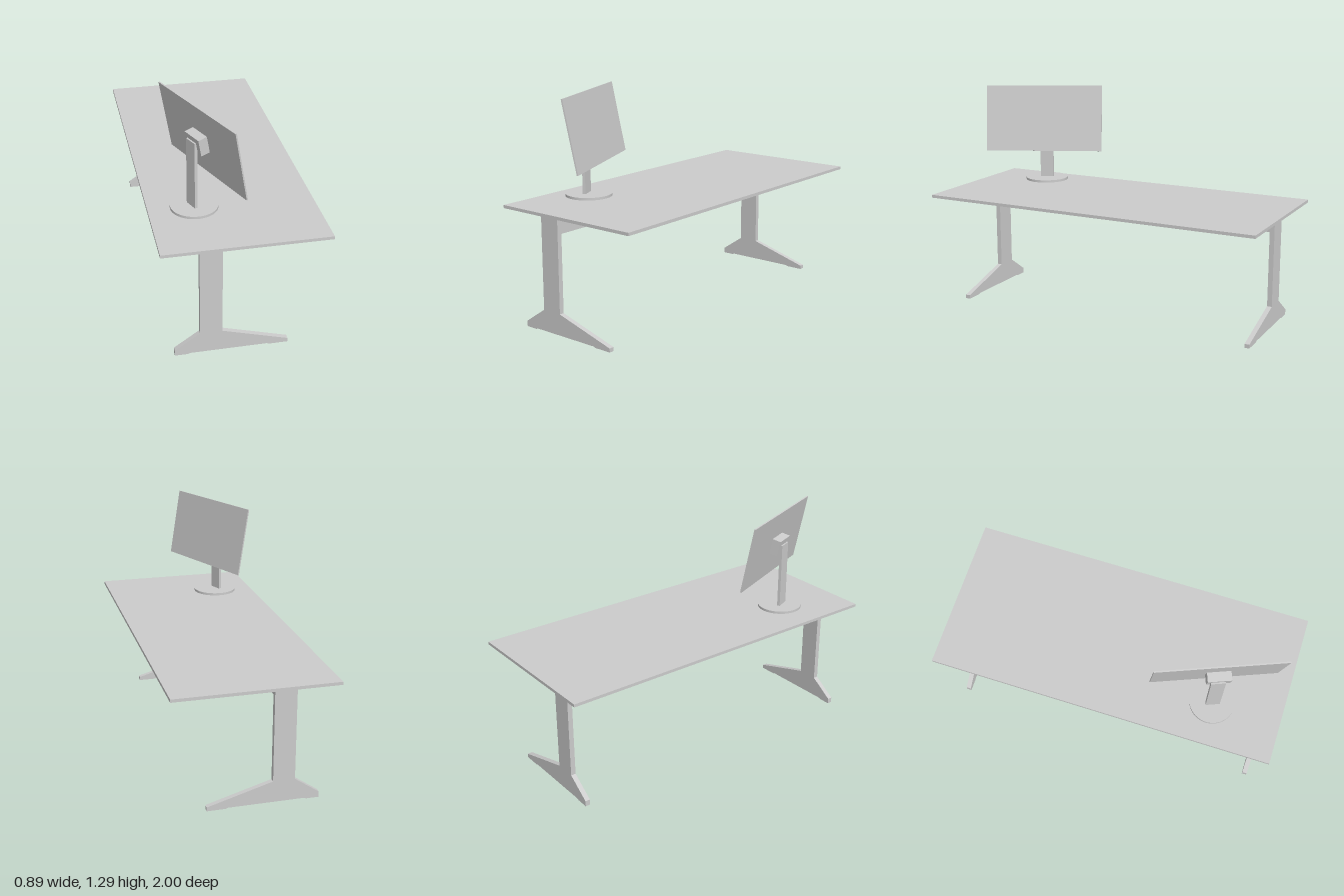
import * as THREE from 'three';

const grey = new THREE.MeshStandardMaterial({ color: 0xcccccc, flatShading: true });
const smoothGrey = new THREE.MeshStandardMaterial({ color: 0xcccccc });

function add(parent, name, geometry, x, y, z, material = grey) {
  const mesh = new THREE.Mesh(geometry, material);
  mesh.name = name;
  mesh.position.set(x, y, z);
  parent.add(mesh);
  return mesh;
}

// Column and splayed foot cut from one flat profile
function legGeometry(top, thickness) {
  const shape = new THREE.Shape([
    [-0.37, 0], [-0.30, 0], [-0.29, 0.005], [0.13, 0.005], [0.14, 0], [0.242, 0],
    [0.242, 0.022], [-0.115, 0.125], [-0.115, top], [-0.235, top], [-0.235, 0.125], [-0.37, 0.032],
  ].map(([x, y]) => new THREE.Vector2(x, y)));
  return new THREE.ExtrudeGeometry(shape, { depth: thickness, bevelEnabled: false })
    .translate(0, 0, -thickness / 2);
}

export function createModel() {
  const model = new THREE.Group();
  model.name = 'deskWithMonitor';

  // Desk
  const desk = new THREE.Group();
  desk.name = 'desk';
  model.add(desk);
  add(desk, 'tabletop', new THREE.BoxGeometry(0.89, 0.017, 2), 0, 0.6785, 0);
  add(desk, 'frontLeg', legGeometry(0.67, 0.028), 0, 0, 0.915);
  add(desk, 'backLeg', legGeometry(0.66, 0.028), 0, 0, -0.901);
  add(desk, 'crossBeam', new THREE.BoxGeometry(0.03, 0.085, 1.788), -0.175, 0.588, 0.007);

  // Monitor stand, turned with the screen
  const turn = THREE.MathUtils.degToRad(112);
  const monitor = new THREE.Group();
  monitor.name = 'monitor';
  model.add(monitor);
  add(monitor, 'standBase', new THREE.CylinderGeometry(0.128, 0.128, 0.014, 48),
    -0.201, 0.71, 0.6, smoothGrey);
  const neck = add(monitor, 'standNeck', new THREE.BoxGeometry(0.08, 0.395, 0.0165), -0.212, 0.8975, 0.605);
  neck.rotation.y = turn;

  // Screen and its mount, leaning back
  const head = new THREE.Group();
  head.name = 'screenHead';
  head.position.set(-0.155, 1.088, 0.5875);
  head.rotation.set(THREE.MathUtils.degToRad(-11), turn, THREE.MathUtils.degToRad(0.5), 'YXZ');
  monitor.add(head);
  add(head, 'screenPanel', new THREE.BoxGeometry(0.708, 0.398, 0.008), 0, 0, 0);
  add(head, 'screenMount', new THREE.BoxGeometry(0.13, 0.095, 0.052), 0, 0, -0.03);

  return model;
}
